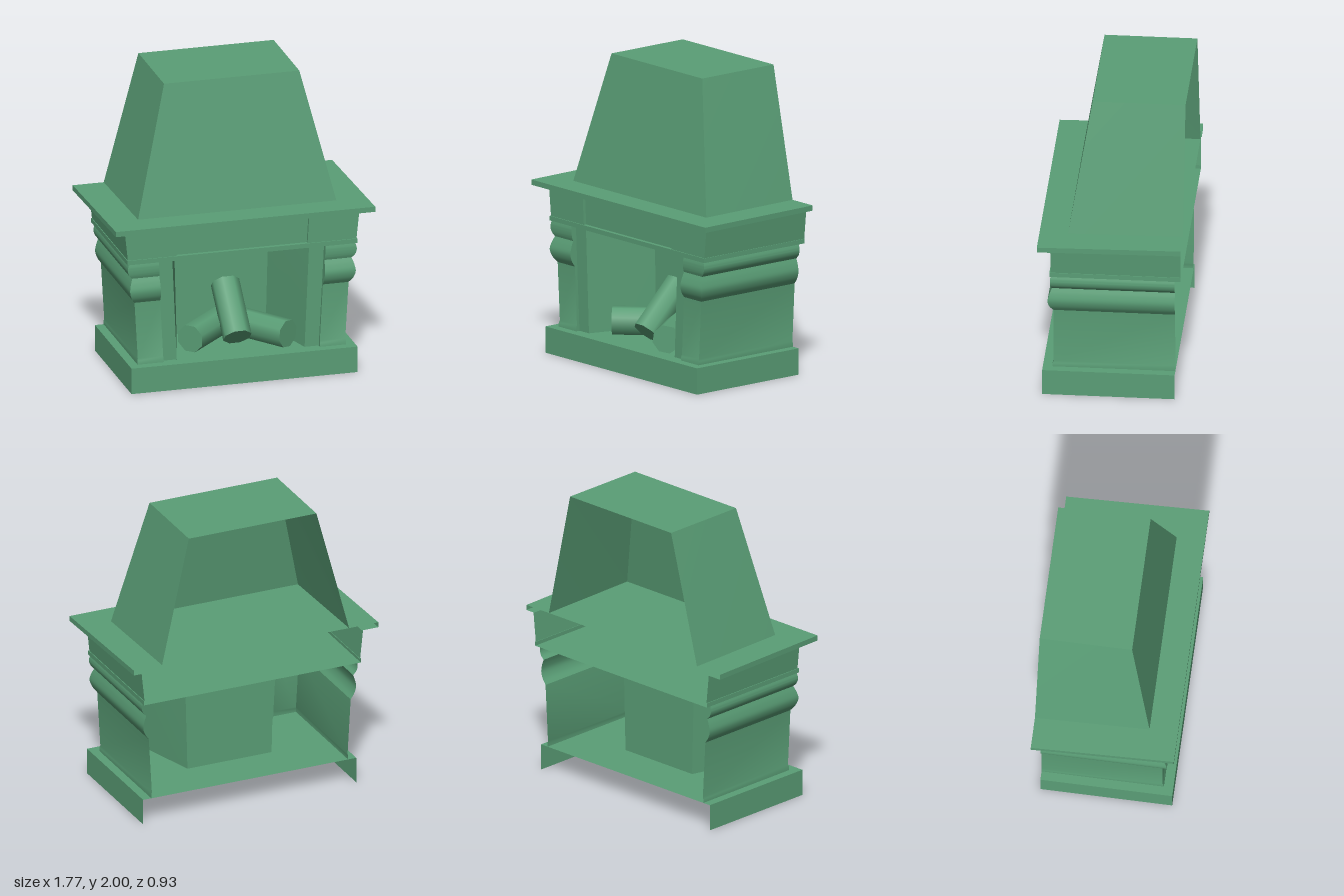
import * as THREE from 'three';
import { toCreasedNormals } from 'three/addons/utils/BufferGeometryUtils.js';

const CX = 0.012; // the masonry is centred slightly to the left side
const material = new THREE.MeshStandardMaterial({ color: 0x5a9e76, side: THREE.DoubleSide });

// Skin between stacked plan outlines; each row is { y, pts: [[x, z], ...] },
// running from the back right corner round the front to the back left corner.
// With cap, the last row (a four-cornered outline) is closed by a flat face.
function loft(name, rows, cap = false) {
  const pos = [];
  const at = (row, j) => [row.pts[j][0], row.y, row.pts[j][1]];
  for (let i = 0; i < rows.length - 1; i++) {
    for (let j = 0; j < rows[i].pts.length - 1; j++) {
      const a = at(rows[i], j), b = at(rows[i], j + 1);
      const c = at(rows[i + 1], j + 1), d = at(rows[i + 1], j);
      pos.push(...a, ...b, ...c, ...a, ...c, ...d);
    }
  }
  if (cap) {
    const [a, b, c, d] = [0, 1, 2, 3].map((j) => at(rows[rows.length - 1], j));
    pos.push(...a, ...b, ...c, ...a, ...c, ...d);
  }
  let geo = new THREE.BufferGeometry();
  geo.setAttribute('position', new THREE.Float32BufferAttribute(pos, 3));
  geo = toCreasedNormals(geo, 0.55);
  const mesh = new THREE.Mesh(geo, material);
  mesh.name = name;
  return mesh;
}

// Three-sided outline, open at the back; skew shifts the front against the back
const outline = (w, front, back, skew = 0, cx = CX) => [
  [cx - w - skew, back], [cx - w + skew, front], [cx + w + skew, front], [cx + w - skew, back],
];

// Mirrors the right half of an outline to the left
const mirrored = (half) => [
  ...half.map(([x, z]) => [CX - x, z]),
  ...half.slice().reverse().map(([x, z]) => [CX + x, z]),
];

// Side walls, moulded pilasters and firebox as one continuous skin
function bodyRow(y, dx, dz) {
  const t = (y - 0.175) / 0.695;
  const w = 0.697 + (y - 0.2) * 0.0575 + dx;
  const z = 0.37 + dz;
  const inner = 0.525 + 0.036 * t, opening = 0.43 + 0.03 * t, back = 0.3 + 0.018 * t;
  return {
    y,
    pts: mirrored([[w, -0.42], [w, z], [inner, z], [inner, 0.35], [opening, 0.35], [back, -0.11]]),
  };
}

function bodyRows() {
  const rows = [bodyRow(0.175, 0.006, 0.008), bodyRow(0.2, 0.005, 0.006), bodyRow(0.215, 0, 0)];
  // Lower swelling, then upper swelling, as [y, side bulge, front bulge]
  const mouldings = [
    [[0.6, 0, 0], [0.64, 0.024, 0.025], [0.685, 0.034, 0.035], [0.73, 0.024, 0.024], [0.77, 0.008, 0.008]],
    [[0.77, 0.008, 0.008], [0.795, 0.029, 0.016], [0.825, 0.037, 0.019], [0.85, 0.033, 0.018], [0.87, 0.025, 0.014]],
  ];
  for (const m of mouldings) {
    const curve = new THREE.CatmullRomCurve3(m.map((p) => new THREE.Vector3(...p)));
    for (const p of curve.getPoints(14)) rows.push(bodyRow(p.x, p.y, p.z));
  }
  return rows;
}

// Frieze outline with a slightly recessed centre panel
const friezeRow = (y, w, panel) => ({
  y, pts: mirrored([[w, -0.46], [w, 0.385], [panel, 0.385], [panel, 0.365]]),
});

function addLog(group, name, start, end) {
  const a = new THREE.Vector3(...start), b = new THREE.Vector3(...end);
  const geo = new THREE.CylinderGeometry(0.095, 0.095, a.distanceTo(b), 8);
  geo.rotateY(Math.PI / 8);
  const mesh = new THREE.Mesh(geo, material);
  mesh.name = name;
  mesh.position.copy(a).lerp(b, 0.5);
  mesh.quaternion.setFromUnitVectors(new THREE.Vector3(0, 1, 0), b.sub(a).normalize());
  group.add(mesh);
}

export function createModel() {
  const model = new THREE.Group();
  model.name = 'fireplace';

  // Hearth
  const hearth = outline(0.76, 0.44, -0.42);
  model.add(loft('hearth', [{ y: 0, pts: hearth }, { y: 0.175, pts: hearth }], true));

  // Walls, pilasters and firebox
  model.add(loft('surround', bodyRows()));

  // Thin ledge: closed underside plus its rim
  const ledge = outline(0.774, 0.392, -0.46);
  model.add(loft('ledgeUnderside', [{ y: 0.87, pts: ledge }], true));
  model.add(loft('ledgeRim', [
    { y: 0.87, pts: ledge },
    { y: 0.9, pts: ledge },
    { y: 0.9, pts: outline(0.765, 0.36, -0.46) },
  ]));

  // Frieze
  model.add(loft('frieze', [friezeRow(0.9, 0.769, 0.44), friezeRow(1.1, 0.79, 0.452)]));

  // Mantel shelf, with the underside of its overhang
  const shelf = outline(0.8725, 0.465, -0.465, 0.0125, 0);
  model.add(loft('mantelShelf', [
    { y: 1.1, pts: outline(0.78, 0.36, -0.465) },
    { y: 1.1, pts: shelf },
    { y: 1.135, pts: shelf },
  ], true));

  // Chimney hood
  model.add(loft('hood', [
    { y: 1.135, pts: outline(0.667, 0.28, -0.465, 0.009, 0) },
    { y: 2, pts: outline(0.455, 0.138, -0.465) },
  ], true));

  // Logs
  const logs = new THREE.Group();
  logs.name = 'logs';
  addLog(logs, 'rightLog', [-0.3, 0.27, 0.25], [-0.01, 0.27, -0.04]);
  addLog(logs, 'leftLog', [0.335, 0.27, 0.33], [0.09, 0.27, 0.0]);
  addLog(logs, 'leaningLog', [0.023, 0.245, 0.235], [0.02, 0.525, -0.045]);
  model.add(logs);

  return model;
}
